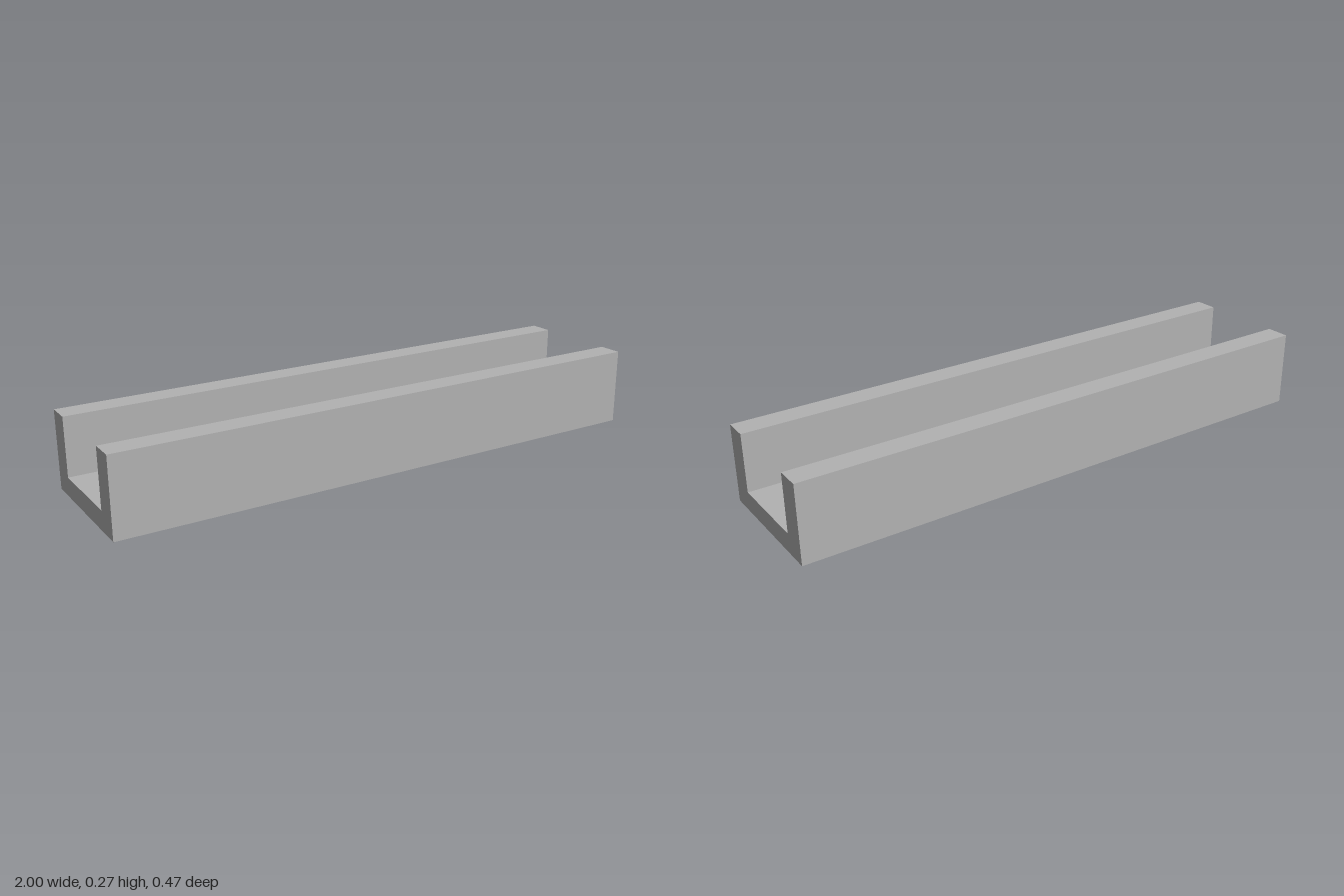
import * as THREE from 'three';
import { toCreasedNormals } from 'three/addons/utils/BufferGeometryUtils.js';

const LENGTH = 2, HALF_DEPTH = 0.237, HEIGHT = 0.272;
const FLOOR = 0.068, WALL = 0.085;
const HOLE_X = 0.543, HOLE_RADIUS = 0.055;

export function createModel() {
  const model = new THREE.Group();
  model.name = 'channel';
  const grey = new THREE.MeshStandardMaterial({ color: 0xb2b2b2 });
  grey.name = 'grey';

  // Floor plate with two round through holes
  const plate = new THREE.Shape([
    new THREE.Vector2(-LENGTH / 2, -HALF_DEPTH),
    new THREE.Vector2(LENGTH / 2, -HALF_DEPTH),
    new THREE.Vector2(LENGTH / 2, HALF_DEPTH),
    new THREE.Vector2(-LENGTH / 2, HALF_DEPTH),
  ]);
  for (const side of [-1, 1]) {
    plate.holes.push(new THREE.Path().absarc(side * HOLE_X, 0, HOLE_RADIUS, 0, Math.PI * 2, true));
  }
  const floorGeometry = new THREE.ExtrudeGeometry(plate, { depth: FLOOR, bevelEnabled: false, curveSegments: 40 });
  floorGeometry.rotateX(-Math.PI / 2);
  const floor = new THREE.Mesh(toCreasedNormals(floorGeometry, 0.6), grey);
  floor.name = 'floorPlate';
  model.add(floor);

  // Side walls standing on the plate edges
  for (const [name, side] of [['frontWall', 1], ['backWall', -1]]) {
    const wall = new THREE.Mesh(new THREE.BoxGeometry(LENGTH, HEIGHT - FLOOR, WALL), grey);
    wall.name = name;
    wall.position.set(0, (HEIGHT + FLOOR) / 2, side * (HALF_DEPTH - WALL / 2));
    model.add(wall);
  }
  return model;
}
